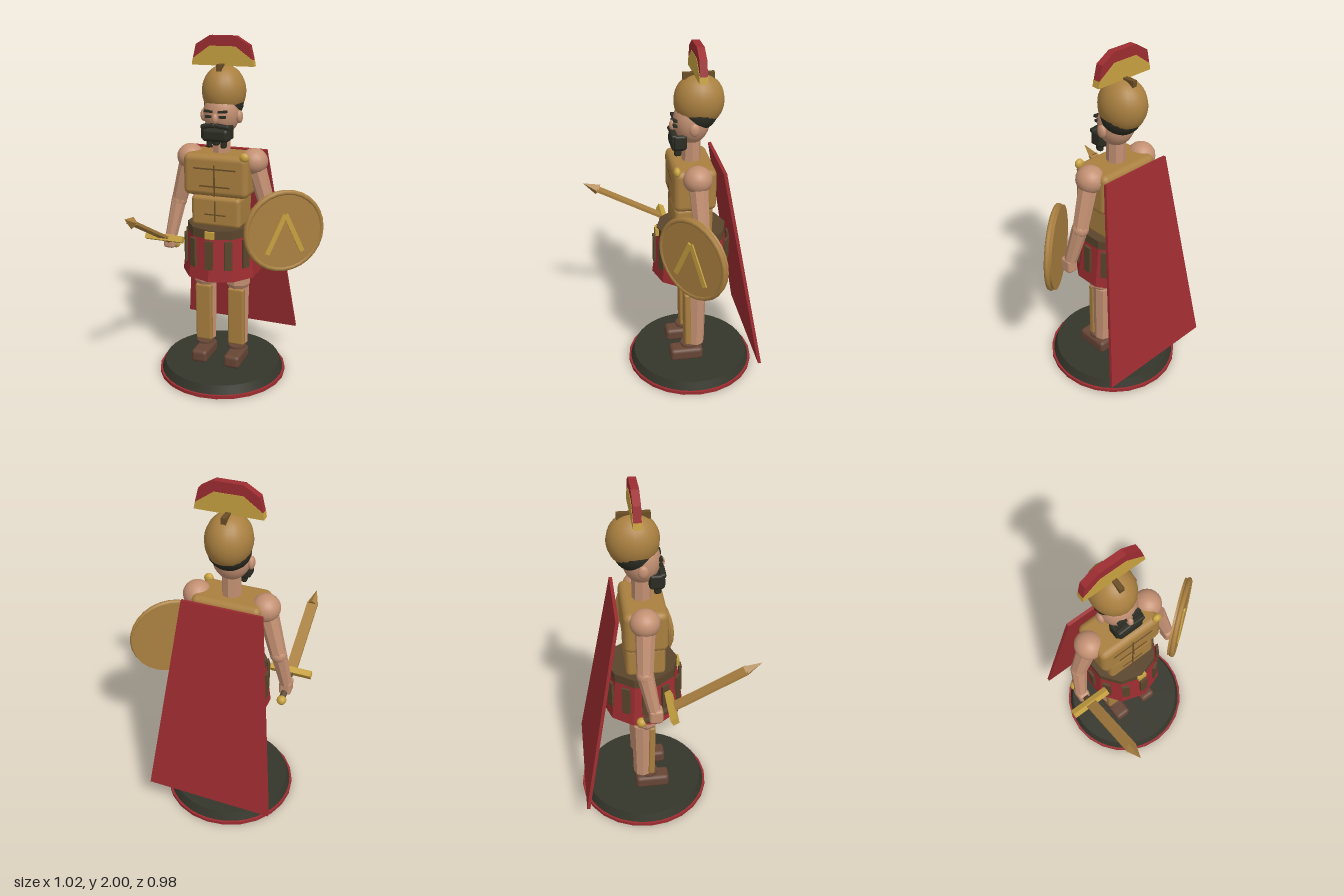
import * as THREE from 'three';
import { RoundedBoxGeometry } from 'three/addons/geometries/RoundedBoxGeometry.js';

const mat = (name, color, flatShading = false) => {
  const m = new THREE.MeshStandardMaterial({ color, flatShading });
  m.name = name;
  return m;
};

export function createModel() {
  const skin = mat('skin', 0xc39072);
  const bronze = mat('bronze', 0xaa8040);
  const darkBronze = mat('dark bronze', 0x6b4e26);
  const gold = mat('gold', 0xc7a140);
  const red = mat('red cloth', 0x9c2c30);
  const leather = mat('leather', 0x5a452c);
  const boot = mat('boot brown', 0x664535);
  const hairDark = mat('black hair', 0x2b2c22);
  const stone = mat('dark base', 0x34352a);

  const model = new THREE.Group();
  model.name = 'warriorFigure';
  const body = new THREE.Group();
  body.name = 'figure';
  body.position.set(-0.075, 0, -0.105);
  model.add(body);

  // Helpers
  const add = (name, geo, m, x = 0, y = 0, z = 0, parent = body) => {
    const mesh = new THREE.Mesh(geo, m);
    mesh.name = name;
    mesh.position.set(x, y, z);
    parent.add(mesh);
    return mesh;
  };
  const box = (w, h, d) => new THREE.BoxGeometry(w, h, d);
  const rbox = (w, h, d, r) => new RoundedBoxGeometry(w, h, d, 2, r);
  const ball = (rx, ry, rz, theta = Math.PI) =>
    new THREE.SphereGeometry(1, 20, 14, 0, Math.PI * 2, 0, theta).scale(rx, ry, rz);
  const faceted = (rTop, rBottom, h, sides) => {
    const g = new THREE.CylinderGeometry(rTop, rBottom, h, sides).toNonIndexed();
    g.computeVertexNormals();
    return g;
  };
  const limb = (name, a, b, ra, rb, m, sides = 8) => {
    const from = new THREE.Vector3(...a), to = new THREE.Vector3(...b);
    const dir = to.clone().sub(from);
    const mesh = add(name, faceted(rb, ra, dir.length(), sides), m);
    mesh.position.copy(from).addScaledVector(dir, 0.5);
    mesh.quaternion.setFromUnitVectors(new THREE.Vector3(0, 1, 0), dir.normalize());
    return mesh;
  };
  const plate = (points, depth) => {
    const shape = new THREE.Shape(points.map(p => new THREE.Vector2(...p)));
    return new THREE.ExtrudeGeometry(shape, { depth, bevelEnabled: false }).translate(0, 0, -depth / 2);
  };

  // Round base
  add('baseRim', new THREE.CylinderGeometry(0.384, 0.384, 0.02, 24), red, 0, 0.01);
  add('baseTop', new THREE.CylinderGeometry(0.35, 0.37, 0.05, 40), stone, 0, 0.045);

  // Legs and arms, mirrored
  for (const s of [-1, 1]) {
    const side = s > 0 ? 'left' : 'right';
    const x = s * 0.103;
    add(side + 'Foot', rbox(0.1, 0.08, 0.2, 0.022), boot, x, 0.115, 0.04);
    add(side + 'AnkleStrap', new THREE.CylinderGeometry(0.054, 0.054, 0.012, 16), boot, x, 0.178, 0.02);
    add(side + 'Shin', faceted(0.06, 0.054, 0.38, 8), skin, x, 0.38, -0.016);
    const greave = add(side + 'Greave', rbox(0.1, 0.365, 0.038, 0.012), bronze, x, 0.375, 0.037);
    greave.rotation.x = 0.02;
    add(side + 'Thigh', faceted(0.075, 0.072, 0.3, 8), skin, x, 0.735, 0.007);
    add(side + 'Knee', faceted(0.072, 0.058, 0.025, 8), skin, x, 0.573, 0.007);

    add(side + 'Shoulder', ball(0.078, 0.075, 0.08), skin, s * 0.192, 1.322, 0);
    limb(side + 'UpperArm', [s * 0.2, 1.31, 0], [s * 0.275, 1.05, -0.012], 0.055, 0.045, skin);
    add(side + 'Elbow', ball(0.046, 0.046, 0.046), skin, s * 0.275, 1.05, -0.012);
    limb(side + 'Forearm', [s * 0.275, 1.06, -0.012], [s * 0.312, 0.84, 0.03], 0.046, 0.036, skin);
    add(side + 'Hand', rbox(0.068, 0.085, 0.075, 0.016), skin, s * 0.314, 0.81, 0.04);
  }

  // Skirt, belt and hanging straps
  add('skirt', faceted(0.198, 0.23, 0.25, 10), red, 0, 0.78);
  add('belt', faceted(0.2, 0.2, 0.052, 10), leather, 0, 0.925);
  add('buckle', box(0.055, 0.042, 0.02), gold, 0, 0.925, 0.2);
  for (let i = 0; i < 12; i++) {
    const a = i * Math.PI / 6;
    const strap = add('skirtStrap', box(0.045, 0.17, 0.015), leather,
      Math.sin(a) * 0.212, 0.81, Math.cos(a) * 0.216);
    strap.rotation.y = a;
  }

  // Cuirass
  add('abdomenArmour', rbox(0.296, 0.18, 0.215, 0.025), bronze, 0, 1.035, 0.008);
  add('chestArmour', rbox(0.385, 0.24, 0.235, 0.035), bronze, 0, 1.245, 0.008);
  for (const [w, y] of [[0.25, 1.287], [0.18, 1.187]])
    add('chestLine', box(w, 0.008, 0.008), darkBronze, 0, y, 0.125);
  add('chestCentreLine', box(0.008, 0.18, 0.008), darkBronze, 0, 1.22, 0.125);
  add('abdomenLine', box(0.13, 0.007, 0.006), darkBronze, 0, 1.02, 0.116);
  add('abdomenCentreLine', box(0.007, 0.12, 0.006), darkBronze, 0, 1.04, 0.116);
  add('capeBrooch', ball(0.027, 0.027, 0.02), gold, 0.17, 1.362, 0.108);

  // Cape
  const cape = add('cape', plate([[-0.366, -0.6], [0.366, -0.6], [0.222, 0.6], [-0.222, 0.6]], 0.018),
    red, 0, 0.77, -0.25);
  cape.rotation.x = 0.18;

  // Head
  add('neck', faceted(0.053, 0.053, 0.17, 8), skin, 0, 1.43, 0.005);
  add('head', ball(0.103, 0.125, 0.1), skin, 0, 1.585, 0.005);
  add('hair', ball(0.112, 0.1, 0.108), hairDark, 0, 1.635, -0.03);
  add('nose', ball(0.017, 0.03, 0.02), skin, 0, 1.565, 0.107);
  for (const s of [-1, 1]) {
    add('ear', ball(0.018, 0.036, 0.028), skin, s * 0.106, 1.568, 0.005);
    const brow = add('eyebrow', box(0.05, 0.012, 0.02), hairDark, s * 0.042, 1.605, 0.1);
    brow.rotation.z = s * 0.08;
    add('eye', box(0.036, 0.013, 0.02), hairDark, s * 0.04, 1.576, 0.1);
    const whisker = add('moustache', rbox(0.085, 0.024, 0.035, 0.01), hairDark, s * 0.04, 1.526, 0.108);
    whisker.rotation.z = -s * 0.12;
    add('beardSide', rbox(0.03, 0.08, 0.07, 0.012), hairDark, s * 0.072, 1.49, 0.075);
    add('beardTuft', rbox(0.03, 0.06, 0.04, 0.012), hairDark, s * 0.042, 1.432, 0.085);
  }
  add('beard', rbox(0.155, 0.075, 0.085, 0.022), hairDark, 0, 1.475, 0.08);
  add('beardTip', rbox(0.035, 0.05, 0.045, 0.012), hairDark, 0, 1.442, 0.088);

  // Helmet and crest
  const shell = add('helmet', ball(0.122, 0.145, 0.137, 2.25), bronze, 0, 1.7, -0.035);
  shell.material = bronze;
  add('helmetLiner', new THREE.CircleGeometry(1, 20).rotateX(Math.PI / 2).scale(0.095, 1, 0.106),
    bronze, 0, 1.609, -0.035);
  add('crestHolder', box(0.028, 0.036, 0.17), darkBronze, 0, 1.833, -0.03);
  add('crestBase', plate([[-0.18, 1.84], [0.18, 1.84], [0.174, 1.875], [0.075, 1.945],
    [-0.075, 1.945], [-0.174, 1.875]], 0.044), gold, 0, 0, -0.026);
  add('crestPlume', plate([[-0.174, 1.875], [-0.075, 1.945], [0.075, 1.945], [0.174, 1.875],
    [0.155, 1.952], [0.075, 2], [-0.075, 2], [-0.155, 1.952]], 0.04), red, 0, 0, -0.026);

  // Sword, pointing forward and slightly up
  const sword = new THREE.Group();
  sword.name = 'sword';
  sword.position.set(-0.314, 0.85, 0.125);
  sword.rotation.x = Math.PI / 2 - 0.494;
  body.add(sword);
  add('blade', box(0.062, 0.45, 0.016), bronze, 0, 0.225, 0, sword);
  add('bladeTip', faceted(0, 0.034, 0.097, 4), bronze, 0, 0.489, 0, sword);
  add('guard', box(0.235, 0.036, 0.036), gold, 0, 0, 0, sword);
  add('grip', new THREE.CylinderGeometry(0.018, 0.018, 0.17, 10), leather, 0, -0.09, 0, sword);
  add('pommel', ball(0.027, 0.027, 0.027), gold, 0, -0.185, 0, sword);

  // Round shield on the left arm
  const shield = new THREE.Group();
  shield.name = 'shield';
  shield.position.set(0.388, 0.953, 0.055);
  shield.rotation.y = 0.66;
  body.add(shield);
  add('shieldDisc', new THREE.CylinderGeometry(0.222, 0.232, 0.036, 28).rotateX(Math.PI / 2), bronze, 0, 0, 0, shield);
  add('shieldRim', new THREE.TorusGeometry(0.224, 0.015, 8, 28), bronze, 0, 0, 0.008, shield);
  for (const s of [-1, 1]) {
    const bar = add('shieldChevron', box(0.028, 0.245, 0.009), gold, s * 0.054, -0.012, 0.022, shield);
    bar.rotation.z = s * 0.436;
  }

  return model;
}
